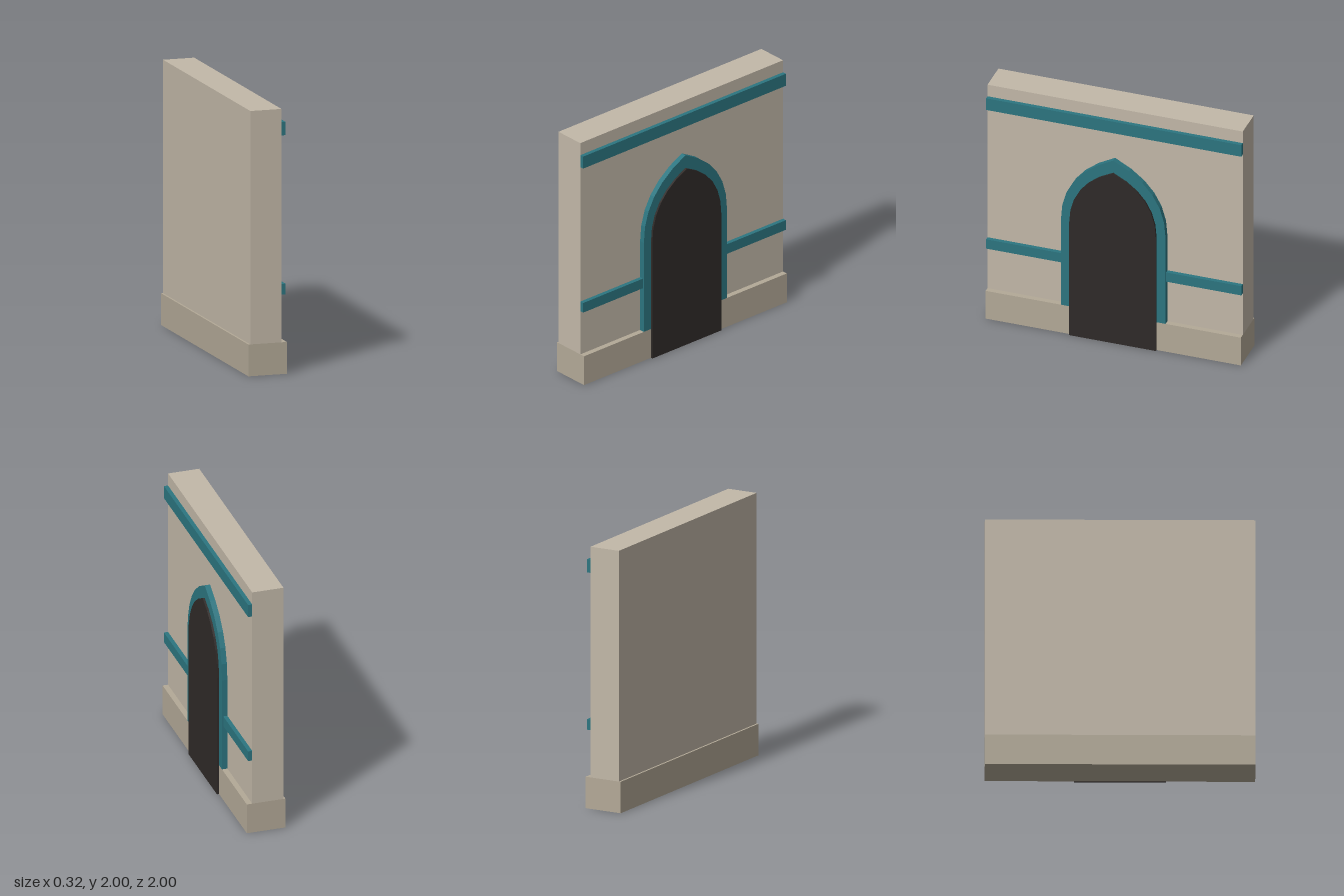
import * as THREE from 'three';

const material = (color) => new THREE.MeshStandardMaterial({ color, flatShading: true });

export function createModel() {
  const group = new THREE.Group();
  const stone = material(0xc2b8a8);
  const plinthStone = material(0xb3a997);
  const teal = material(0x2c7580);
  const dark = material(0x2f2a28);

  // Box given by its lower and upper limits on each axis
  function addBox(name, mat, [x0, x1], [y0, y1], [z0, z1]) {
    const mesh = new THREE.Mesh(new THREE.BoxGeometry(x1 - x0, y1 - y0, z1 - z0), mat);
    mesh.position.set((x0 + x1) / 2, (y0 + y1) / 2, (z0 + z1) / 2);
    mesh.name = name;
    group.add(mesh);
  }

  // Pointed-arch slab facing +x
  function addArch(name, mat, [x0, x1], halfWidth, bottom, spring, shoulder, apex) {
    const shape = new THREE.Shape();
    shape.moveTo(-halfWidth, bottom);
    shape.lineTo(halfWidth, bottom);
    shape.lineTo(halfWidth, spring);
    shape.quadraticCurveTo(halfWidth, shoulder, 0, apex);
    shape.quadraticCurveTo(-halfWidth, shoulder, -halfWidth, spring);
    shape.closePath();
    const geometry = new THREE.ExtrudeGeometry(shape, {
      depth: x1 - x0, bevelEnabled: false, curveSegments: 6,
    });
    geometry.rotateY(Math.PI / 2);
    const mesh = new THREE.Mesh(geometry, mat);
    mesh.position.x = x0;
    mesh.name = name;
    group.add(mesh);
  }

  // Wall standing on a wider plinth
  addBox('plinth', plinthStone, [-0.16, 0.14], [0, 0.24], [-1, 1]);
  addBox('wall', stone, [-0.145, 0.098], [0.24, 2], [-1, 1]);

  // Horizontal trim: one full upper band, lower band on each side of the arch
  addBox('upperBand', teal, [0.098, 0.13], [1.8, 1.9], [-1, 1]);
  addBox('lowerBandFront', teal, [0.098, 0.13], [0.6, 0.68], [0.4, 1]);
  addBox('lowerBandBack', teal, [0.098, 0.13], [0.6, 0.68], [-1, -0.4]);

  // Arch surround and the door panel proud of it
  addArch('archSurround', teal, [0.098, 0.14], 0.41, 0.24, 0.98, 1.385, 1.57);
  addArch('doorPanel', dark, [0.138, 0.156], 0.34, 0, 0.97, 1.32, 1.465);

  return group;
}
